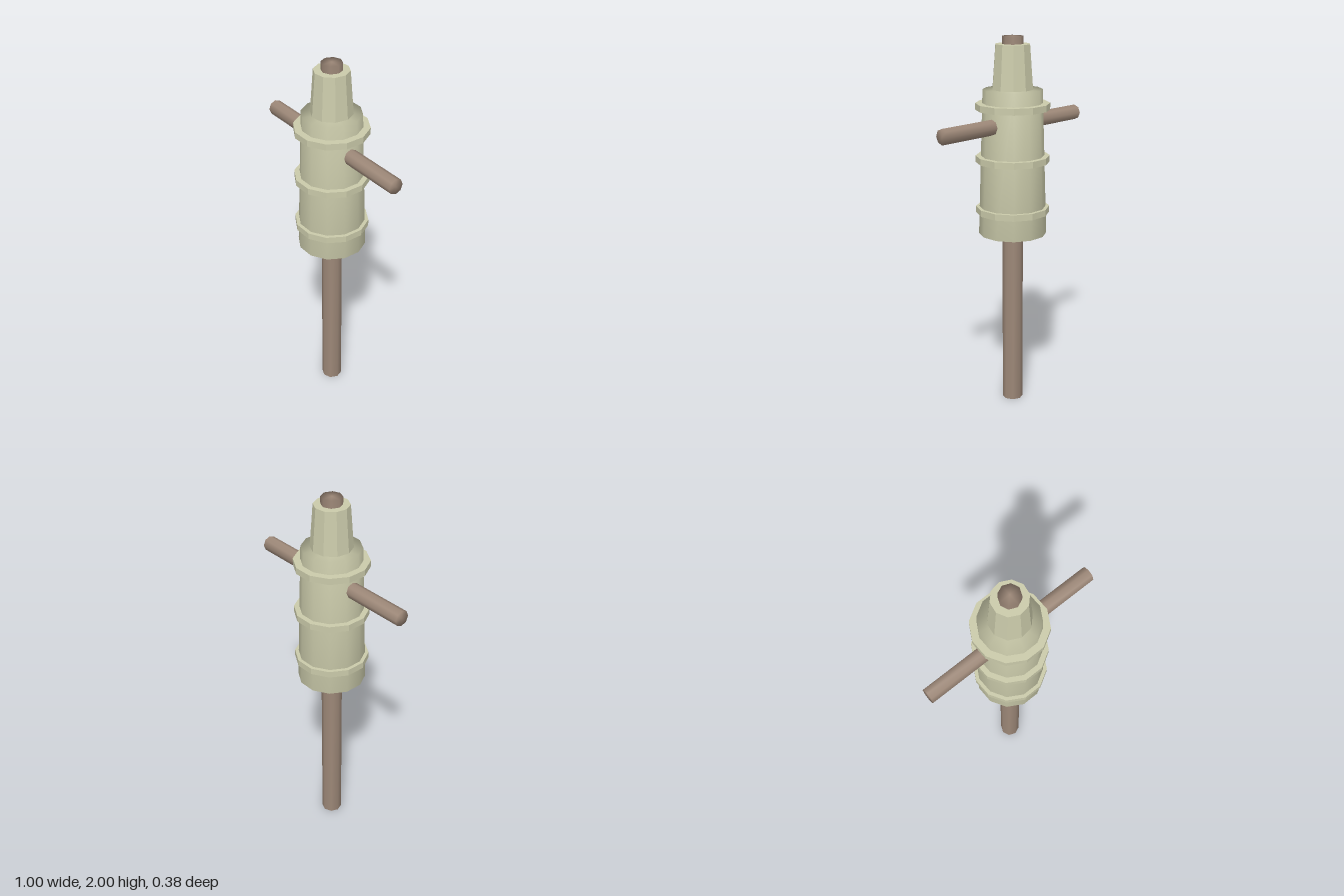
import * as THREE from 'three';
import { mergeVertices } from 'three/addons/utils/BufferGeometryUtils.js';

const DEG = Math.PI / 180;

// Prism or frustum; soft shares normals across every edge, otherwise faceted
function frustum(rTop, rBottom, y0, y1, sides, turn, soft) {
  let g = new THREE.CylinderGeometry(rTop, rBottom, y1 - y0, sides, 1, false, turn * DEG, Math.PI * 2);
  g.translate(0, (y0 + y1) / 2, 0);
  g.deleteAttribute('uv');
  g.deleteAttribute('normal');
  g = soft ? mergeVertices(g, 1e-4) : g.toNonIndexed();
  g.computeVertexNormals();
  return g;
}

export function createModel() {
  const model = new THREE.Group();
  model.name = 'insulator';
  const cream = new THREE.MeshStandardMaterial({ name: 'cream ceramic', color: 0xcacaaa });
  const brown = new THREE.MeshStandardMaterial({ name: 'brown rod', color: 0x9d8878 });

  const add = (name, geometry, material) => {
    const mesh = new THREE.Mesh(geometry, material);
    mesh.name = name;
    model.add(mesh);
    return mesh;
  };

  // Twelve-sided tapered body with flats facing the axes
  const flat = 1 / Math.cos(15 * DEG);
  add('body', frustum(0.15 * flat, 0.174 * flat, 0.96, 1.73, 12, 15, true), cream);

  // Thin flanges around the body
  [1.092, 1.366, 1.642].forEach((y, i) =>
    add('flange' + (i + 1), frustum(0.188 * flat, 0.188 * flat, y - 0.017, y + 0.017, 12, 15, false), cream));

  // Ten-sided neck on top
  add('neck', frustum(0.092, 0.109, 1.73, 1.96, 10, 27, false), cream);

  // Vertical rod through the whole model
  add('verticalRod', frustum(0.055, 0.055, 0, 2, 8, 0, true), brown);

  // Horizontal rod through the upper body
  const bar = add('crossRod', frustum(0.041, 0.041, -0.5, 0.5, 8, 0, true), brown);
  bar.rotation.z = Math.PI / 2;
  bar.position.y = 1.55;

  return model;
}
